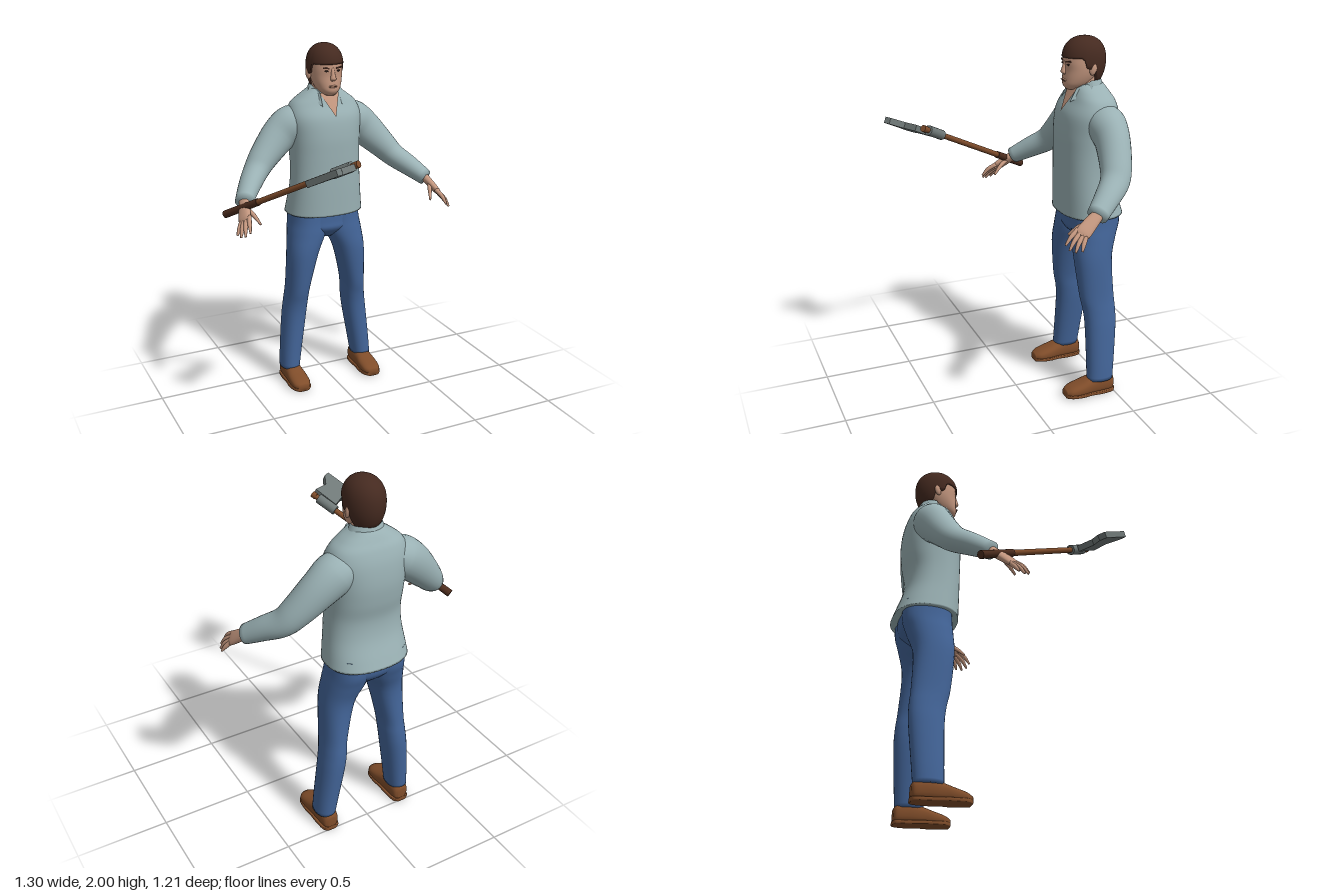
import * as THREE from 'three';

const V = (x, y, z) => new THREE.Vector3(x, y, z);
const mat = (name, color, side = THREE.FrontSide) => {
  const m = new THREE.MeshStandardMaterial({ color, side });
  m.name = name;
  return m;
};

// Smooth closed skin through rows [x, y, z, radiusA, radiusB].
// Rings lie across "dir", or across the path itself when dir is null; "ref" points along radiusA.
function loft(rows, ref, dir = null, e = 2, sides = 28, steps = 5) {
  const centres = new THREE.CatmullRomCurve3(rows.map(r => V(r[0], r[1], r[2])), false, 'catmullrom', 0.5);
  const radii = new THREE.CatmullRomCurve3(rows.map(r => V(r[3], r[4], 0)), false, 'catmullrom', 0.5);
  const n = (rows.length - 1) * steps, pos = [], idx = [];
  const pw = v => Math.sign(v) * Math.pow(Math.abs(v), 2 / e);
  for (let i = 0; i <= n; i++) {
    const c = centres.getPoint(i / n), r = radii.getPoint(i / n);
    const d = dir ? dir.clone() : centres.getTangent(i / n);
    const a = ref.clone().addScaledVector(d, -ref.dot(d)).normalize();
    const b = d.clone().cross(a);
    for (let j = 0; j < sides; j++) {
      const t = (j / sides) * Math.PI * 2;
      const p = c.clone().addScaledVector(a, r.x * pw(Math.cos(t))).addScaledVector(b, r.y * pw(Math.sin(t)));
      pos.push(p.x, p.y, p.z);
    }
  }
  for (let i = 0; i < n; i++) for (let j = 0; j < sides; j++) {
    const k = (j + 1) % sides, p = i * sides, q = p + sides;
    idx.push(p + j, p + k, q + j, p + k, q + k, q + j);
  }
  // End caps
  const end = pos.length / 3, last = n * sides;
  pos.push(...centres.getPoint(0).toArray(), ...centres.getPoint(1).toArray());
  for (let j = 0; j < sides; j++) {
    const k = (j + 1) % sides;
    idx.push(end, k, j, end + 1, last + j, last + k);
  }
  return build(pos, idx);
}

function build(pos, idx) {
  const g = new THREE.BufferGeometry();
  g.setAttribute('position', new THREE.Float32BufferAttribute(pos, 3));
  g.setIndex(idx);
  g.computeVertexNormals();
  return g;
}

// Copy reflected in x, with the corner order restored
function mirror(geo) {
  const pos = Array.from(geo.attributes.position.array, (v, i) => (i % 3 ? v : -v));
  const s = Array.from(geo.index.array), idx = [];
  for (let i = 0; i < s.length; i += 3) idx.push(s[i], s[i + 2], s[i + 1]);
  return build(pos, idx);
}

// Hair cap whose lower edge steps from the fringe to the sideburns and the nape
function hairGeometry() {
  const N = 56, M = 16, pos = [], idx = [];
  for (let i = 0; i <= M; i++) for (let j = 0; j < N; j++) {
    const t = (j / N) * Math.PI * 2, cx = Math.cos(t), cz = Math.sin(t), z0 = -0.382 + 0.121 * cz;
    const low = 1.895 - 0.055 * THREE.MathUtils.smoothstep(-z0, 0.335, 0.36) - 0.07 * THREE.MathUtils.smoothstep(-z0, 0.395, 0.44);
    const y = low + (2 - low) * Math.sin((Math.max(i - 1, 0) / (M - 1)) * Math.PI / 2);
    const up = Math.max(0, (y - 1.87) / 0.13), down = Math.max(0, (1.87 - y) / 0.1);
    const f = (i ? 1 : 0.84) * Math.pow(Math.max(0, 1 - Math.pow(up, 2.4)), 0.45) * (1 - 0.22 * down * down);
    pos.push(0.101 * f * cx, y, -0.382 + 0.121 * f * cz);
  }
  for (let i = 0; i < M; i++) for (let j = 0; j < N; j++) {
    const k = (j + 1) % N, p = i * N, q = p + N;
    idx.push(p + j, q + j, p + k, p + k, q + j, q + k);
  }
  return build(pos, idx);
}

export function createModel() {
  const model = new THREE.Group();
  const shirt = mat('shirt cloth', 0x9ab1b4, THREE.DoubleSide);
  const denim = mat('denim', 0x436599);
  const leather = mat('shoe leather', 0x804d2a);
  const skin = mat('skin', 0xc4977f, THREE.DoubleSide);
  const hair = mat('hair', 0x452a20, THREE.DoubleSide);
  const wood = mat('handle wood', 0x7d4b2a);
  const gripMat = mat('grip wrap', 0x4d2d1e);
  const metal = mat('metal', 0x6f7877);
  const dark = mat('eye dark', 0x2c1f1a);

  const add = (name, geo, material, parent = model) => {
    const m = new THREE.Mesh(geo, material);
    m.name = name;
    parent.add(m);
    return m;
  };
  const pair = (name, geo, material) => {
    add('left' + name, geo, material);
    add('right' + name, mirror(geo), material);
  };
  const X = V(1, 0, 0), DOWN = V(0, -1, 0), FRONT = V(0, 0, 1), OUT = V(0.707, 0.707, 0);

  // Shirt body
  add('shirtBody', loft([
    [0, 1.755, -0.41, 0.083, 0.072], [0, 1.738, -0.41, 0.105, 0.085], [0, 1.71, -0.412, 0.145, 0.1],
    [0, 1.67, -0.415, 0.19, 0.12], [0, 1.6, -0.408, 0.212, 0.148], [0, 1.5, -0.405, 0.205, 0.16],
    [0, 1.4, -0.4, 0.2, 0.156], [0, 1.3, -0.392, 0.199, 0.146], [0, 1.2, -0.397, 0.205, 0.15],
    [0, 1.1, -0.415, 0.217, 0.166], [0, 1.045, -0.425, 0.224, 0.175],
  ], X, DOWN, 2.35, 48), shirt);

  // Sleeves
  pair('Sleeve', loft([
    [0.1, 1.6, -0.43, 0.07, 0.09], [0.18, 1.56, -0.432, 0.105, 0.105], [0.26, 1.5, -0.43, 0.1, 0.092],
    [0.365, 1.395, -0.4, 0.08, 0.083], [0.425, 1.33, -0.365, 0.067, 0.076],
    [0.49, 1.275, -0.29, 0.058, 0.065], [0.555, 1.215, -0.205, 0.045, 0.054],
  ], OUT), shirt);

  // Collar: neck band, folded flaps and open neck
  const band = new THREE.CylinderGeometry(0.08, 0.1, 0.05, 28, 1, true, Math.PI * 0.42, Math.PI * 1.16);
  add('collarBand', band.scale(1, 1, 0.84).translate(0, 1.752, -0.408), shirt);
  pair('CollarFlap', build([
    0.078, 1.777, -0.4, 0.055, 1.737, -0.318, 0.058, 1.668, -0.279, 0.112, 1.728, -0.38,
  ], [0, 1, 2, 0, 2, 3]), shirt);
  add('openNeck', build([
    -0.058, 1.737, -0.322, 0.008, 1.612, -0.25, 0.058, 1.737, -0.322, 0, 1.737, -0.314,
  ], [0, 1, 3, 3, 1, 2]), skin);

  // Trousers
  add('trouserSeat', loft([
    [0, 1.1, -0.43, 0.2, 0.13], [0, 1, -0.428, 0.204, 0.13], [0, 0.95, -0.415, 0.16, 0.115], [0, 0.895, -0.41, 0.04, 0.06],
  ], X, DOWN, 2.3, 36), denim);
  pair('TrouserLeg', loft([
    [0.1, 1.1, -0.43, 0.104, 0.13], [0.105, 1, -0.428, 0.105, 0.131], [0.114, 0.92, -0.413, 0.108, 0.122],
    [0.147, 0.8, -0.397, 0.088, 0.107], [0.175, 0.6, -0.412, 0.066, 0.1], [0.185, 0.5, -0.427, 0.066, 0.094],
    [0.197, 0.4, -0.432, 0.067, 0.089], [0.222, 0.2, -0.425, 0.061, 0.08], [0.234, 0.09, -0.42, 0.056, 0.076],
  ], X, DOWN, 2.2), denim);

  // Shoes: [z, centre height, half width, half height]
  const shoe = [
    [-0.504, 0.05, 0.022, 0.034], [-0.485, 0.055, 0.044, 0.05], [-0.42, 0.06, 0.051, 0.057], [-0.35, 0.053, 0.053, 0.05],
    [-0.3, 0.045, 0.057, 0.041], [-0.24, 0.037, 0.052, 0.03], [-0.207, 0.032, 0.03, 0.018],
  ];
  pair('Shoe', loft(shoe.map(([z, y, w, h]) => [0.229, y, z, w, h]), X, FRONT, 2.5), leather);
  pair('ShoeSole', loft(shoe.map(([z, , w]) => {
    const lift = z > -0.3 ? 0.006 : z > -0.4 ? 0.004 : 0;
    return [0.229, 0.013 + lift, z * 1.004, w + 0.004, 0.012];
  }), X, FRONT, 5), leather);

  // Hands
  pair('Palm', loft([
    [0.548, 1.223, -0.218, 0.024, 0.03], [0.566, 1.19, -0.17, 0.021, 0.036],
    [0.584, 1.155, -0.122, 0.017, 0.04], [0.592, 1.139, -0.102, 0.009, 0.034],
  ], OUT, null, 2.3, 18), skin);
  const fingers = {
    IndexFinger: [[0.565, 1.167, -0.1], [0.58, 1.138, -0.055], [0.588, 1.1, -0.022]],
    MiddleFinger: [[0.578, 1.155, -0.108], [0.6, 1.12, -0.062], [0.612, 1.08, -0.033]],
    RingFinger: [[0.589, 1.144, -0.116], [0.613, 1.108, -0.08], [0.628, 1.071, -0.058]],
    LittleFinger: [[0.599, 1.135, -0.126], [0.62, 1.105, -0.105], [0.637, 1.075, -0.09]],
    Thumb: [[0.556, 1.192, -0.165], [0.533, 1.163, -0.115], [0.512, 1.122, -0.072]],
  };
  for (const [name, p] of Object.entries(fingers)) {
    const r = [0.0125, 0.0115, 0.0055];
    pair(name, loft(p.map((q, i) => [...q, r[i], r[i]]), OUT, null, 2, 10, 4), skin);
  }

  // Neck and head
  add('neck', loft([
    [0, 1.83, -0.4, 0.06, 0.06], [0, 1.76, -0.398, 0.068, 0.064], [0, 1.68, -0.405, 0.078, 0.07],
  ], X, DOWN), skin);
  const skull = [
    [1.985, 0.04, -0.33, -0.43], [1.94, 0.082, -0.282, -0.475], [1.88, 0.088, -0.27, -0.475], [1.83, 0.086, -0.272, -0.465],
    [1.785, 0.075, -0.268, -0.44], [1.75, 0.057, -0.268, -0.405], [1.725, 0.028, -0.285, -0.35],
  ];
  add('head', loft(skull.map(([y, w, f, b]) => [0, y, (f + b) / 2, w, (f - b) / 2]), X, DOWN, 2.2, 32), skin);
  add('nose', loft([
    [0, 1.878, -0.278, 0.008, 0.008], [0, 1.84, -0.269, 0.012, 0.012], [0, 1.818, -0.266, 0.017, 0.014], [0, 1.806, -0.272, 0.012, 0.008],
  ], X, DOWN, 2, 14), skin);
  add('lips', new THREE.SphereGeometry(1, 16, 8).scale(0.026, 0.008, 0.008).translate(0, 1.776, -0.27), skin);
  add('mouthLine', new THREE.BoxGeometry(0.042, 0.003, 0.006).translate(0, 1.777, -0.2625), gripMat);
  for (const s of [1, -1]) {
    const side = s > 0 ? 'left' : 'right';
    const ear = add(side + 'Ear', new THREE.SphereGeometry(1, 14, 10).scale(0.012, 0.032, 0.019), skin);
    ear.position.set(s * 0.093, 1.838, -0.392);
    ear.rotation.set(-0.2, s * -0.3, 0);
    const brow = add(side + 'Brow', new THREE.BoxGeometry(0.036, 0.007, 0.008), hair);
    brow.position.set(s * 0.037, 1.876, -0.276);
    brow.rotation.set(0, s * 0.3, s * 0.08);
    const eye = add(side + 'Eye', new THREE.SphereGeometry(1, 12, 8).scale(0.012, 0.005, 0.004), dark);
    eye.position.set(s * 0.036, 1.86, -0.276);
    eye.rotation.y = s * 0.3;
  }
  add('hair', hairGeometry(), hair);

  // Axe: handle along its own y axis, butt at the origin
  const axe = new THREE.Group();
  axe.name = 'axe';
  model.add(axe);
  const butt = V(-0.635, 1.135, -0.285), tip = V(-0.197, 1.535, 0.445);
  const dir = tip.clone().sub(butt), length = dir.length();
  dir.normalize();
  const shaft = new THREE.Group();
  shaft.name = 'axeShaft';
  shaft.position.copy(butt);
  shaft.quaternion.setFromUnitVectors(V(0, 1, 0), dir);
  axe.add(shaft);
  const rod = (name, from, to, r0, r1, m) => add(name,
    new THREE.CylinderGeometry(r1, r0, (to - from) * length, 16).translate(0, (from + to) / 2 * length, 0), m, shaft);
  rod('handle', 0.02, 1, 0.016, 0.015, wood);
  rod('grip', 0, 0.27, 0.021, 0.02, gripMat);
  rod('headSocket', 0.83, 0.955, 0.027, 0.027, metal);
  rod('handleCap', 0.975, 1.002, 0.018, 0.018, wood);

  // Blade: u runs out from the socket, v along the handle
  const outline = [[0.031, -0.045], [0.126, -0.049], [0.193, -0.099], [0.235, -0.098], [0.238, 0.098], [0.198, 0.106], [0.132, 0.07], [0.038, 0.099]];
  const blade = new THREE.ExtrudeGeometry(new THREE.Shape(outline.map(p => new THREE.Vector2(...p))), { depth: 0.034, bevelEnabled: false });
  const out = V(-0.77, 0.1, 0.635);
  blade.translate(0, 0, -0.017);
  blade.applyMatrix4(new THREE.Matrix4().makeBasis(out, dir, out.clone().cross(dir)).setPosition(-0.245, 1.487, 0.375));
  add('blade', blade, metal, axe);

  return model;
}
